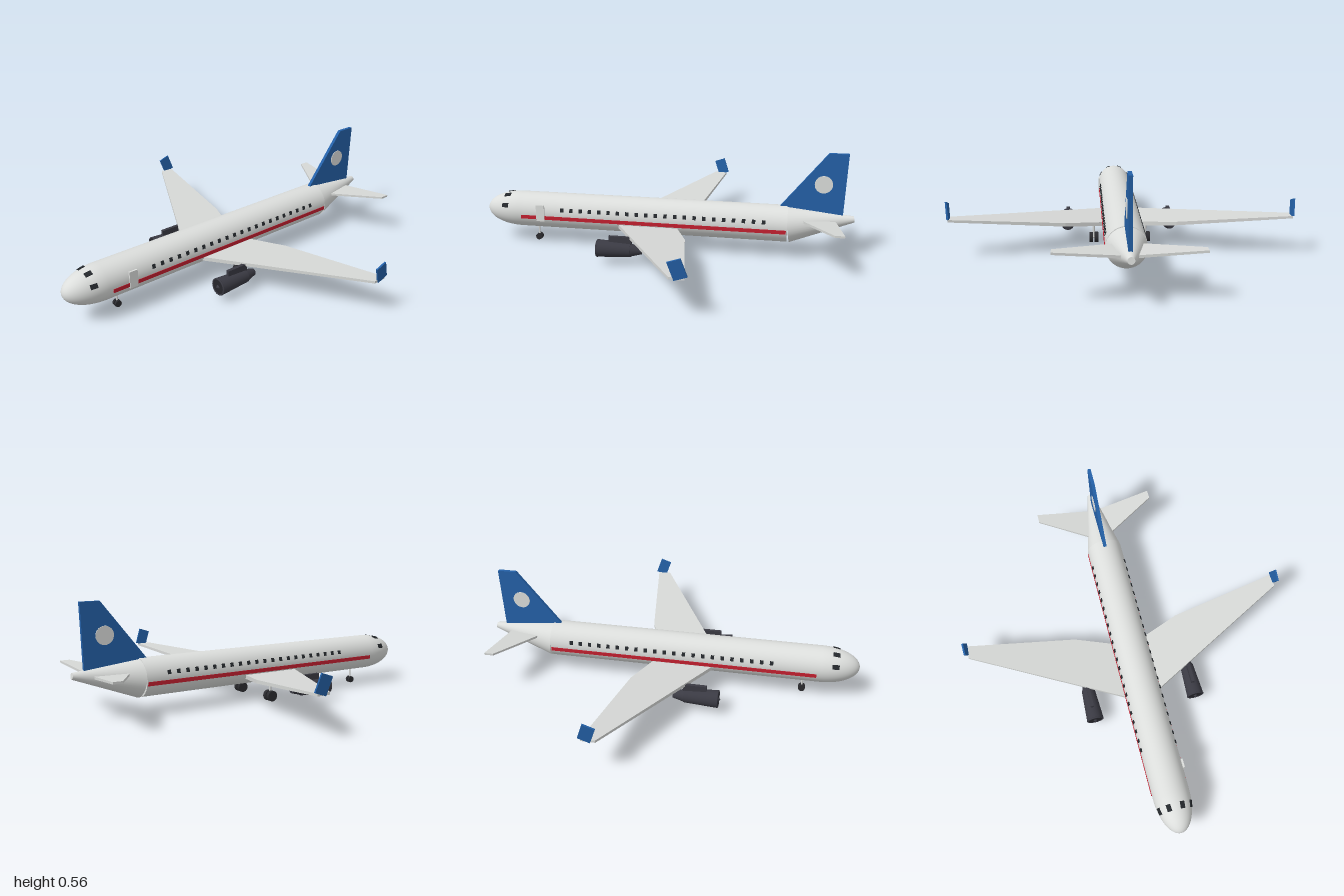
import * as THREE from 'three';

const mat = (name, color, side = THREE.FrontSide) => {
  const m = new THREE.MeshStandardMaterial({ color, side });
  m.name = name;
  return m;
};

export function createModel() {
  const model = new THREE.Group();
  model.name = 'airliner';
  const white = mat('bodyWhite', 0xdcdedc);
  const grey = mat('wingGrey', 0xd6d8d6);
  const blue = mat('tailBlue', 0x2461a8);
  const red = mat('stripeRed', 0xc41f30);
  const glass = mat('windowDark', 0x24282c);
  const dark = mat('engineDark', 0x3a3a43);
  const black = mat('intakeBlack', 0x25252b);
  const tyre = mat('tyre', 0x2c2c30);

  const add = (name, geo, material, x = 0, y = 0, z = 0, parent = model) => {
    const m = new THREE.Mesh(geo, material);
    m.name = name;
    m.position.set(x, y, z);
    parent.add(m);
    return m;
  };
  const box = (w, h, d) => new THREE.BoxGeometry(w, h, d);
  // Cylinder lying along z, front radius first
  const barrel = (front, back, len, n = 24) =>
    new THREE.CylinderGeometry(front, back, len, n).rotateX(Math.PI / 2);

  const R = 0.097, CY = 0.178, NOSE_Z = 0.8, NOSE_L = 0.2, BACK_Z = -0.66;

  // Fuselage tube with a half-ellipsoid nose
  const profile = [new THREE.Vector2(R, BACK_Z)];
  for (let i = 0; i <= 16; i++) {
    const a = (i / 16) * Math.PI / 2;
    profile.push(new THREE.Vector2(i === 16 ? 0 : R * Math.cos(a), NOSE_Z + NOSE_L * Math.sin(a)));
  }
  add('fuselage', new THREE.LatheGeometry(profile, 40).rotateX(Math.PI / 2), white, 0, CY);
  add('rearBulkhead', new THREE.CircleGeometry(R, 40).rotateY(Math.PI), white, 0, CY, BACK_Z);

  // Tail cone, tilted upward
  add('tailCone', new THREE.CylinderGeometry(0.016, R, 0.34, 40).rotateX(-Math.PI / 2 + 0.13),
    white, 0, 0.198, -0.83);

  // Plan outline [x, z] to a plate with dihedral and thinning toward the tip
  const plate = (pts, side, y0, slope, thick, thin) => {
    const shape = new THREE.Shape(pts.map(([x, z]) => new THREE.Vector2(x * side, -z)));
    const geo = new THREE.ExtrudeGeometry(shape, { depth: thick, bevelEnabled: false });
    geo.translate(0, 0, -thick / 2).rotateX(-Math.PI / 2);
    const p = geo.attributes.position;
    for (let i = 0; i < p.count; i++) {
      const ax = Math.abs(p.getX(i));
      p.setY(i, p.getY(i) * (1 - thin * ax) + y0 + slope * ax);
    }
    geo.computeVertexNormals();
    return geo;
  };
  const wingPlan = [[0.04, 0.256], [0.876, -0.18], [0.876, -0.25], [0.29, -0.16], [0.04, -0.07]];
  const stabPlan = [[0.01, -0.705], [0.33, -0.888], [0.33, -0.936], [0.01, -0.9]];

  for (const s of [1, -1]) {
    const L = s > 0 ? 'left' : 'right';
    add(L + 'Wing', plate(wingPlan, s, 0.124, 0.086, 0.022, 0.5), grey);
    add(L + 'Stabilizer', plate(stabPlan, s, 0.204, 0.096, 0.013, 0.6), grey);

    const winglet = add(L + 'Winglet', box(0.009, 0.09, 0.063), blue, s * 0.879, 0.242, -0.219);
    winglet.rotation.set(0.33, 0, -s * 0.1);

    // Cheat line along the cabin
    add(L + 'Stripe', box(0.009, 0.02, 1.435), red, s * 0.0942, 0.159, 0.0625);

    // Cabin windows, tilted to follow the round hull
    const tilt = 0.3;
    for (let i = 0; i < 22; i++) {
      const w = add(L + 'CabinWindow', box(0.005, 0.021, 0.018), glass,
        s * R * Math.cos(tilt), CY + R * Math.sin(tilt), 0.546 - i * 0.0517);
      w.rotation.z = s * tilt;
    }

    // Cockpit windows lie on the nose ellipsoid
    for (const a of [0.42, 1.17]) {
      const k = Math.sqrt(1 - 0.37 ** 2);
      const pos = new THREE.Vector3(s * R * k * Math.cos(a), R * k * Math.sin(a), NOSE_L * 0.37);
      const n = new THREE.Vector3(pos.x / R ** 2, pos.y / R ** 2, pos.z / NOSE_L ** 2);
      const w = add(L + 'CockpitWindow', box(0.024, 0.036, 0.006), glass,
        pos.x, pos.y + CY, pos.z + NOSE_Z);
      w.up.set(0, 0, 1);
      w.lookAt(w.position.clone().add(n));
    }

    // Engine: nacelle, intake, spinner, nozzle and pylon
    const engine = new THREE.Group();
    engine.name = L + 'Engine';
    engine.position.set(s * 0.284, 0.08, 0);
    model.add(engine);
    add('nacelle', barrel(0.046, 0.036, 0.175), dark, 0, 0, 0.2075, engine);
    add('intakeLip', new THREE.TorusGeometry(0.042, 0.005, 8, 24), dark, 0, 0, 0.294, engine);
    add('intake', new THREE.CircleGeometry(0.039, 24), black, 0, 0, 0.2965, engine);
    add('spinner', barrel(0.002, 0.012, 0.012, 16), dark, 0, 0, 0.301, engine);
    add('nozzle', barrel(0.034, 0.018, 0.06), dark, 0, 0, 0.092, engine);
    add('pylon', box(0.018, 0.04, 0.12), dark, 0, 0.05, 0.175, engine);

    // Main landing gear
    const gear = new THREE.Group();
    gear.name = L + 'MainGear';
    gear.position.set(s * 0.141, 0, 0.03);
    model.add(gear);
    add('strut', new THREE.CylinderGeometry(0.006, 0.006, 0.105, 12), grey, 0, 0.083, 0, gear);
    add('axle', new THREE.CylinderGeometry(0.005, 0.005, 0.03, 10).rotateZ(Math.PI / 2), grey, 0, 0.028, 0, gear);
    for (const t of [1, -1])
      add('wheel', new THREE.CylinderGeometry(0.028, 0.028, 0.02, 20).rotateZ(Math.PI / 2),
        tyre, t * 0.0145, 0.028, 0, gear);

    // Nose wheel of this side
    add(L + 'NoseWheel', new THREE.CylinderGeometry(0.018, 0.018, 0.011, 18).rotateZ(Math.PI / 2),
      tyre, s * 0.009, 0.018, 0.713);

    // Round emblem disc on the fin
    add(L + 'FinDisc', new THREE.CylinderGeometry(0.046, 0.046, 0.004, 28).rotateZ(Math.PI / 2),
      white, s * 0.01, 0.4, -0.834);
  }
  add('noseStrut', new THREE.CylinderGeometry(0.005, 0.005, 0.075, 12), grey, 0, 0.055, 0.713);

  // Fin drawn in [z, y], extruded across x
  const finShape = new THREE.Shape(
    [[-0.618, 0.272], [-0.853, 0.564], [-0.952, 0.564], [-0.94, 0.235], [-0.66, 0.245]]
      .map(([z, y]) => new THREE.Vector2(-z, y)));
  const fin = new THREE.ExtrudeGeometry(finShape, { depth: 0.018, bevelEnabled: false });
  fin.translate(0, 0, -0.009).rotateY(Math.PI / 2);
  add('fin', fin, blue);

  // Cabin door on the left side only
  add('door', box(0.009, 0.09, 0.046), white, 0.0975, 0.185, 0.668);

  return model;
}
